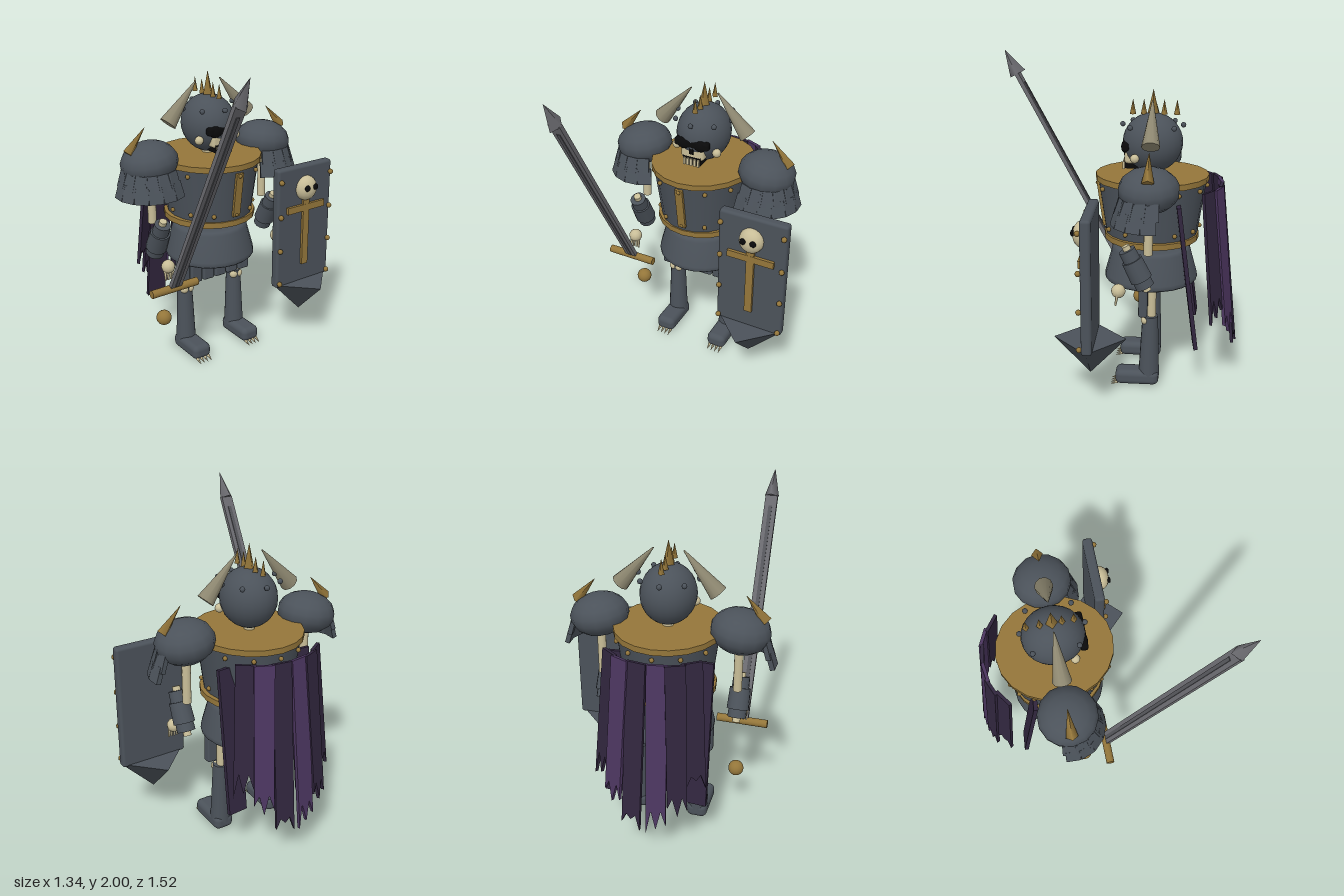
import * as THREE from 'three';
import { RoundedBoxGeometry } from 'three/addons/geometries/RoundedBoxGeometry.js';

const mat = (name, color, extra = {}) => {
  const m = new THREE.MeshStandardMaterial({ color, ...extra });
  m.name = name;
  return m;
};

export function createModel() {
  const steel = mat('steel', 0x4b525a);
  const gold = mat('gold', 0x94763a);
  const bone = mat('bone', 0xc9be98);
  const horn = mat('horn', 0x8d8770);
  const black = mat('black', 0x0a0a0b);
  const blade = mat('blade grey', 0x6c6c71);
  const fuller = mat('dark blade grey', 0x56575c);
  const darkCloth = mat('dark purple', 0x31263e);
  const lightCloth = mat('purple', 0x4c3660);

  const root = new THREE.Group();
  root.name = 'armoredSkeleton';
  const body = new THREE.Group();
  body.name = 'body';
  body.position.set(-0.03, 0, -0.22);
  root.add(body);

  const add = (parent, name, geo, material, x = 0, y = 0, z = 0) => {
    const m = new THREE.Mesh(geo, material);
    m.name = name;
    m.position.set(x, y, z);
    parent.add(m);
    return m;
  };
  const box = (w, h, d) => new THREE.BoxGeometry(w, h, d);
  const ball = (r, sx = 1, sy = 1, sz = 1, n = 12) =>
    new THREE.SphereGeometry(r, n, Math.max(6, n * 0.7 | 0)).scale(sx, sy, sz);
  const up = new THREE.Vector3(0, 1, 0);
  // Cylinder or cone running from point a (radius ra) to point b (radius rb)
  const rod = (parent, name, a, b, ra, rb, material, sides = 12) => {
    const p = new THREE.Vector3(...a), q = new THREE.Vector3(...b);
    const dir = q.clone().sub(p);
    const m = add(parent, name, new THREE.CylinderGeometry(rb, ra, dir.length(), sides), material);
    m.position.copy(p).add(q).multiplyScalar(0.5);
    m.quaternion.setFromUnitVectors(up, dir.normalize());
    return m;
  };

  // Helm with rivets and crest
  add(body, 'helm', ball(1, 0.163, 0.177, 0.18, 24), steel, 0, 1.513, 0);
  for (let i = 0; i < 8; i++) {
    const a = i * Math.PI / 4;
    add(body, 'helmRivet', ball(0.016, 1, 1, 1, 8), steel, Math.sin(a) * 0.178, 1.62, Math.cos(a) * 0.18);
  }
  [-0.14, -0.065, 0, 0.055, 0.12].forEach((z, i) => {
    const h = i === 2 ? 0.15 : 0.09, r = i === 2 ? 0.035 : 0.019;
    add(body, 'crestSpike', new THREE.ConeGeometry(r, h, 4), gold, 0, 1.68 + h / 2, z);
  });

  // Skull face
  add(body, 'visorSlit', new RoundedBoxGeometry(0.225, 0.05, 0.045, 2, 0.015), black, 0, 1.5, 0.158);
  for (const s of [-1, 1]) {
    add(body, 'eyeSocket', ball(0.045, 1, 0.8, 0.5), black, s * 0.055, 1.495, 0.163);
    add(body, 'cheekBone', ball(0.027), bone, s * 0.133, 1.44, 0.1);
  }
  add(body, 'upperJaw', new RoundedBoxGeometry(0.15, 0.075, 0.14, 2, 0.02), bone, 0, 1.43, 0.095);
  add(body, 'noseHole', box(0.028, 0.045, 0.01), black, 0, 1.455, 0.168);
  add(body, 'mouth', box(0.115, 0.055, 0.09), black, 0, 1.39, 0.12);
  for (let i = 0; i < 5; i++)
    add(body, 'tooth', box(0.015, 0.045, 0.014), bone, -0.046 + i * 0.023, 1.38, 0.169);
  rod(body, 'spine', [0, 0.85, -0.025], [0, 1.4, -0.01], 0.032, 0.032, bone);

  // Breastplate, rims and rivets
  const ring = (name, rt, rb, y0, y1, sx, sz, material) =>
    add(body, name, new THREE.CylinderGeometry(rt, rb, y1 - y0, 20).scale(sx, 1, sz), material, 0, (y0 + y1) / 2, 0);
  ring('breastplate', 1, 0.85, 0.95, 1.3, 0.302, 0.33, steel);
  ring('collarRim', 1, 1, 1.29, 1.325, 0.318, 0.343, gold);
  ring('waistRim', 1, 1, 0.925, 0.96, 0.285, 0.29, gold);
  for (let i = 0; i < 12; i++) {
    const a = i * Math.PI / 6, s = Math.sin(a), c = Math.cos(a);
    add(body, 'topRivet', ball(0.014, 1, 1, 1, 8), gold, s * 0.302, 1.255, c * 0.332);
    add(body, 'lowRivet', ball(0.014, 1, 1, 1, 8), gold, s * 0.268, 1.0, c * 0.292);
  }
  add(body, 'chestStrip', box(0.05, 0.285, 0.02), gold, 0, 1.13, 0.308).rotation.x = 0.14;

  // Hip skirt and hanging plates
  const skirt = [[0, 0.875], [0.195, 0.875], [0.22, 0.868], [0.235, 0.85], [0.278, 0.69], [0.28, 0.665], [0.27, 0.655], [0, 0.655]];
  add(body, 'hipSkirt', new THREE.LatheGeometry(skirt.reverse().map(p => new THREE.Vector2(...p)), 24).scale(1, 1, 1.03), steel);
  for (let i = 0; i < 6; i++)
    add(body, 'hipPlate', new RoundedBoxGeometry(0.082, 0.2, 0.055, 2, 0.012), steel, -0.23 + i * 0.092, 0.585, 0.035);

  // Parts that repeat on both sides
  for (const s of [-1, 1]) {
    // Horn: broad end outside, point inside
    rod(body, 'horn', [s * 0.285, 1.545, 0], [s * 0.087, 1.775, 0], 0.054, 0.004, horn, 10);

    // Leg
    const x = s * 0.193;
    rod(body, 'thighBone', [x, 0.4, -0.015], [x, 0.7, -0.015], 0.028, 0.028, bone);
    for (const k of [-1, 1]) add(body, 'kneeBone', ball(0.027), bone, x + k * 0.02, 0.445, 0.022);
    rod(body, 'greave', [x, 0.06, -0.003], [x, 0.47, -0.008], 0.065, 0.048, steel, 16);
    add(body, 'foot', new RoundedBoxGeometry(0.128, 0.095, 0.27, 3, 0.035), steel, x, 0.058, 0.07);
    for (let i = 0; i < 4; i++)
      rod(body, 'toeClaw', [x - 0.04 + i * 0.027, 0.022, 0.19], [x - 0.04 + i * 0.027, 0.004, 0.235], 0.011, 0.001, bone, 6);

    // Shoulder dome, spike and two rows of plates
    const px = s * 0.42;
    add(body, 'shoulderDome', ball(1, 0.175, 0.125, 0.175, 14), steel, px, 1.335, 0).rotation.z = -s * 0.15;
    rod(body, 'shoulderSpike', [s * 0.56, 1.41, 0], [s * 0.442, 1.55, 0], 0.035, 0.001, gold, 4);
    for (let row = 0; row < 2; row++) {
      for (let i = 0; i < 6; i++) {
        const a = -0.12 + i * 0.42 + row * 0.08;
        const r = 0.165 + row * 0.02;
        const p = add(body, 'shoulderPlate', box(0.085, 0.1, 0.028), steel,
          px + s * Math.cos(a) * r, 1.25 - row * 0.065, Math.sin(a) * r);
        p.rotation.set(-0.3, s * (Math.PI / 2 - a), 0, 'YXZ');
      }
    }

    // Arm
    const ax = s * 0.415;
    rod(body, 'upperArmBone', [ax, 0.95, 0], [ax, 1.3, 0], 0.026, 0.026, bone);
    rod(body, 'forearmBone', [ax, 0.73, 0.0], [ax, 1.0, 0.13], 0.024, 0.024, bone);
    rod(body, 'bracer', [ax, 0.755, 0.015], [ax, 0.975, 0.122], 0.056, 0.05, steel, 14);
    rod(body, 'bracerCuff', [ax, 0.8, 0.037], [ax, 0.915, 0.093], 0.066, 0.062, steel, 14);
    add(body, 'hand', ball(0.042), bone, ax, 0.72, 0.17);
    for (let i = 0; i < 4; i++)
      rod(body, 'finger', [ax - 0.027 + i * 0.018, 0.7, 0.175], [ax - 0.027 + i * 0.018, 0.64, 0.185], 0.009, 0.006, bone, 6);

    // Thin side strip of the cape
    const side = add(body, 'capeSideStrip', box(0.125, 0.9, 0.025), darkCloth, s * 0.25, 0.75, -0.225);
    side.rotation.set(0.135, s * 0.08, 0);
  }

  // Cape strips with torn lower edges, set on an arc
  const strip = (len, w, n) => {
    const sh = new THREE.Shape();
    sh.moveTo(-w / 2, 0);
    for (let i = 0; i <= 4; i++)
      sh.lineTo(-w / 2 + w * i / 4, -len + (i % 2 ? 0.09 + 0.03 * (n % 3) : 0.03 * ((i + n) % 3)));
    sh.lineTo(w / 2, 0);
    return new THREE.ExtrudeGeometry(sh, { depth: 0.02, bevelEnabled: false });
  };
  [[-0.235, -0.345, 0.78], [-0.155, -0.405, 0.93], [-0.058, -0.425, 1.05],
    [0.06, -0.425, 1.04], [0.162, -0.405, 0.9], [0.243, -0.345, 0.8]].forEach(([x, z, len], i) => {
    const m = add(body, 'capeStrip', strip(len, 0.115, i), i === 2 || i === 4 ? lightCloth : darkCloth, x, 1.28, z);
    m.rotation.set(0.11, -x * 2.6, 0, 'YXZ');
  });

  // Sword leaning forward
  const sword = new THREE.Group();
  sword.name = 'sword';
  sword.position.set(-0.44, 0.6, 0.01);
  sword.rotation.x = Math.atan2(0.74, 1.4);
  root.add(sword);
  add(sword, 'swordBlade', box(0.076, 1.41, 0.026), blade, 0, 0.715, 0);
  add(sword, 'swordFuller', box(0.022, 1.32, 0.036), fuller, 0, 0.69, 0);
  add(sword, 'swordTip', new THREE.ConeGeometry(0.055, 0.17, 4).scale(0.8, 1, 1), blade, 0, 1.5, 0);
  const guard = add(sword, 'swordGuard', new THREE.CylinderGeometry(0.025, 0.025, 0.32, 12), gold);
  guard.rotation.z = Math.PI / 2;
  add(sword, 'swordPommel', ball(0.048, 1, 1, 1, 16), gold, 0, -0.3, 0);

  // Shield with pointed base, cross and skull
  const shield = new THREE.Group();
  shield.name = 'shield';
  shield.position.set(0.46, 0, 0.105);
  root.add(shield);
  add(shield, 'shieldPlate', new RoundedBoxGeometry(0.43, 0.8, 0.062, 2, 0.018), steel, 0, 0.837, 0);
  add(shield, 'shieldPoint', new THREE.ConeGeometry(0.212, 0.225, 4).rotateX(Math.PI), steel, 0, 0.338, 0.003);
  add(shield, 'crossUpright', box(0.048, 0.45, 0.018), gold, 0, 0.795, 0.04);
  add(shield, 'crossBar', box(0.295, 0.044, 0.018), gold, 0, 0.962, 0.041);
  for (const s of [-1, 1]) {
    for (let i = 0; i < 4; i++)
      add(shield, 'shieldRivet', ball(0.017, 1, 1, 1, 8), gold, s * 0.198, 1.16 - i * 0.23, 0.042);
    add(shield, 'skullEye', ball(0.02, 1, 1, 0.6, 10), black, s * 0.032, 1.105, 0.092);
  }
  add(shield, 'shieldSkull', ball(0.08, 0.95, 1, 0.75, 16), bone, 0, 1.09, 0.037);

  return root;
}
